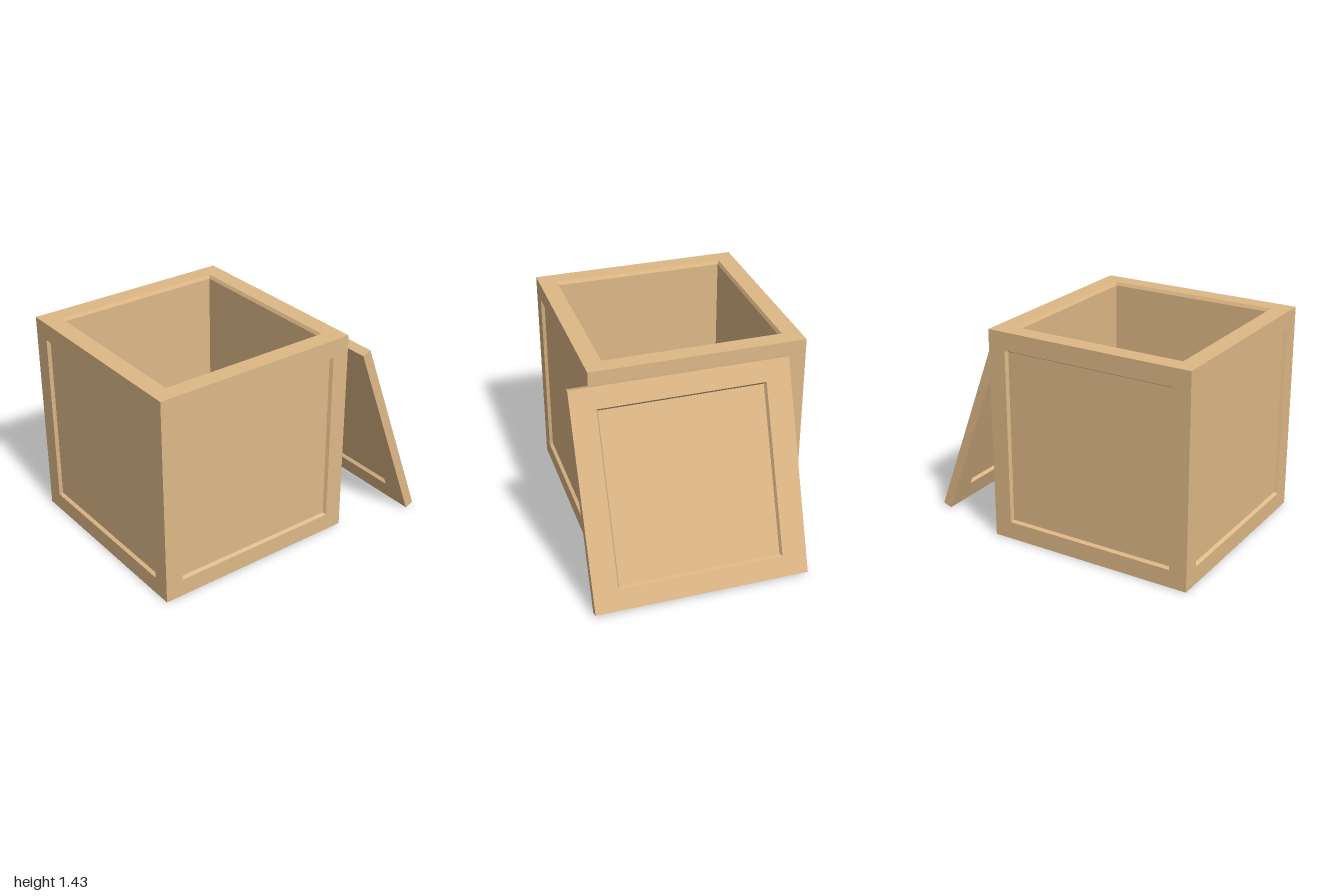
import * as THREE from 'three';

const SIZE = 1.435, HALF = SIZE / 2;
const BEVEL = 0.012, DEPTH = 0.022;

// Skins a chain of rectangles [halfWidth, halfHeight, z], working towards +z and inwards.
function rectChain(rings, capStart = false) {
  const corners = rings.map(([w, h, z]) => [[-w, -h, z], [w, -h, z], [w, h, z], [-w, h, z]]);
  const pos = [];
  const quad = (a, b, c, d) => pos.push(...a, ...b, ...c, ...a, ...c, ...d);
  for (let r = 0; r < corners.length - 1; r++) {
    const a = corners[r], b = corners[r + 1];
    for (let i = 0; i < 4; i++) {
      const j = (i + 1) % 4;
      quad(a[i], a[j], b[j], b[i]);
    }
  }
  quad(...corners[corners.length - 1]);
  if (capStart) quad(...corners[0].slice().reverse());
  const geo = new THREE.BufferGeometry();
  geo.setAttribute('position', new THREE.Float32BufferAttribute(pos, 3));
  geo.computeVertexNormals();
  return geo;
}

export function createModel() {
  const wood = new THREE.MeshStandardMaterial({ color: 0xdeb887 });
  wood.name = 'lightWood';
  const model = new THREE.Group();
  model.name = 'openCrate';

  // Crate body: five framed panels and an open top
  const crate = new THREE.Group();
  crate.name = 'crate';
  crate.position.set(-1 + HALF, HALF, -0.0725);
  const open = 0.597, inner = open - BEVEL;
  const frame = [[HALF, HALF, HALF], [open, open, HALF], [inner, inner, HALF - DEPTH]];
  const panelGeo = rectChain(frame);
  const topGeo = rectChain([...frame, [inner, inner, -inner]]);
  const sides = [
    ['frontPanel', 0, 0], ['leftPanel', 0, Math.PI / 2], ['backPanel', 0, Math.PI],
    ['rightPanel', 0, -Math.PI / 2], ['bottomPanel', Math.PI / 2, 0], ['topRimAndInterior', -Math.PI / 2, 0],
  ];
  for (const [name, rx, ry] of sides) {
    const mesh = new THREE.Mesh(name === 'topRimAndInterior' ? topGeo : panelGeo, wood);
    mesh.name = name;
    mesh.rotation.set(rx, ry, 0);
    crate.add(mesh);
  }
  model.add(crate);

  // Loose lid, recessed on both faces and leaning on the crate's left side
  const t = 0.032, w = 0.553, h = 0.577;
  const lidGeo = rectChain([
    [w - BEVEL, h - BEVEL, -t + DEPTH], [w, h, -t], [HALF, HALF, -t],
    [HALF, HALF, t], [w, h, t], [w - BEVEL, h - BEVEL, t - DEPTH],
  ], true);
  lidGeo.rotateY(Math.PI / 2);
  const lid = new THREE.Mesh(lidGeo, wood);
  lid.name = 'lid';
  lid.rotation.z = Math.atan2(0.505, 1.345);
  lid.position.set(0.7175, 0.684, 0.07);
  model.add(lid);

  return model;
}
